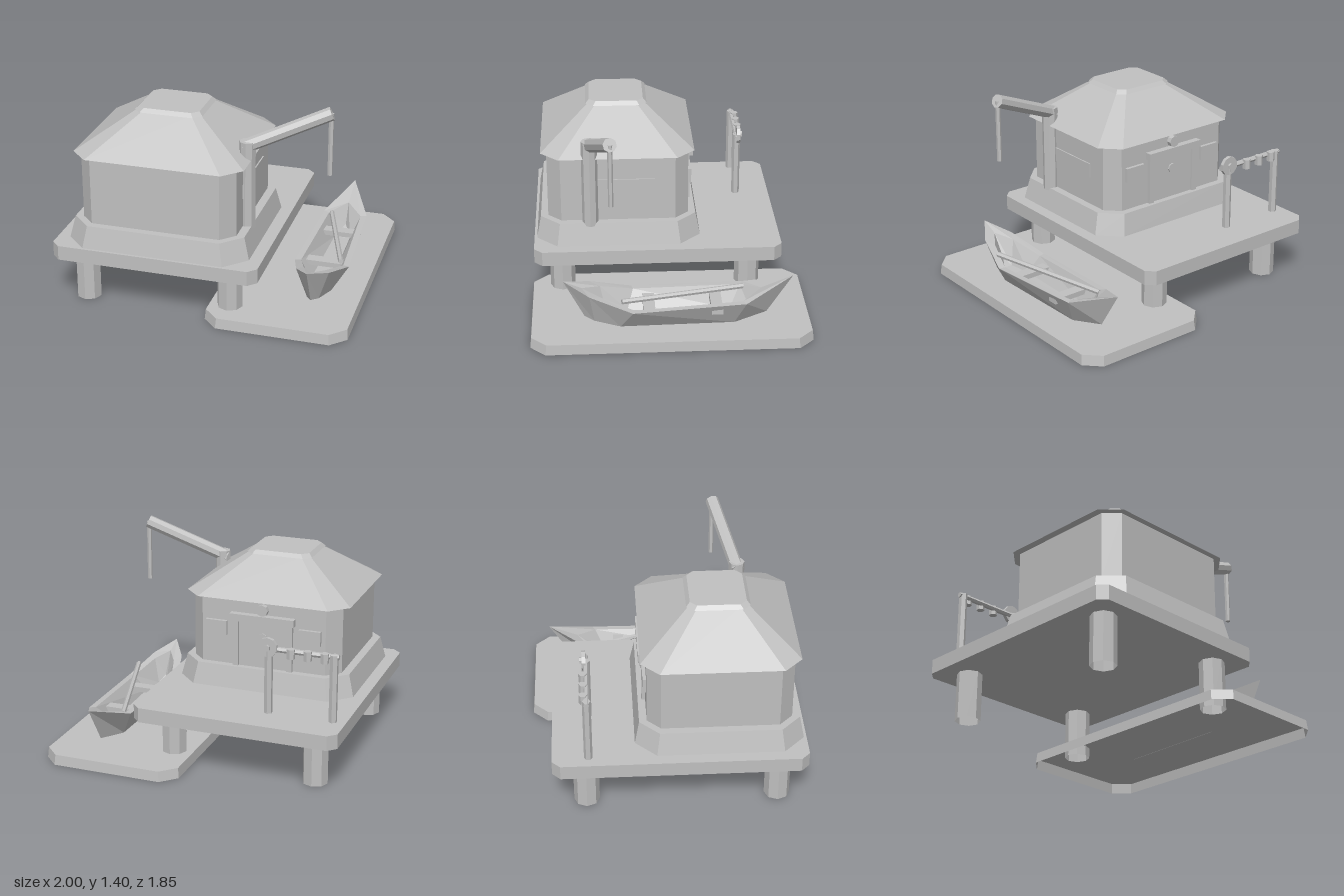
import * as THREE from 'three';

const grey = new THREE.MeshStandardMaterial({ color: 0xc0c0c0, flatShading: true, side: THREE.DoubleSide });
grey.name = 'plainGrey';

export function createModel() {
  const root = new THREE.Group();
  root.name = 'harbourHut';

  const add = (name, geo, x = 0, y = 0, z = 0) => {
    const m = new THREE.Mesh(geo, grey);
    m.name = name;
    m.position.set(x, y, z);
    root.add(m);
    return m;
  };
  const box = (name, w, h, d, x, y, z) => add(name, new THREE.BoxGeometry(w, h, d), x, y, z);

  // Skin a list of closed rings, with optional end caps
  const loft = (rings, capStart = true, capEnd = true) => {
    const pos = [];
    const tri = (...p) => p.forEach((q) => pos.push(...q));
    const n = rings[0].length;
    for (let r = 0; r < rings.length - 1; r++) {
      for (let i = 0; i < n; i++) {
        const j = (i + 1) % n;
        tri(rings[r][i], rings[r][j], rings[r + 1][j]);
        tri(rings[r][i], rings[r + 1][j], rings[r + 1][i]);
      }
    }
    const first = rings[0], last = rings[rings.length - 1];
    for (let i = 1; i < n - 1; i++) {
      if (capStart) tri(first[0], first[i + 1], first[i]);
      if (capEnd) tri(last[0], last[i], last[i + 1]);
    }
    const g = new THREE.BufferGeometry();
    g.setAttribute('position', new THREE.Float32BufferAttribute(pos, 3));
    g.computeVertexNormals();
    return g;
  };

  // Rectangle with cut corners: half width, half depth, corner cut
  const cutRect = ([y, hx, hz, c]) => [
    [hx, y, hz - c], [hx, y, c - hz], [hx - c, y, -hz], [c - hx, y, -hz],
    [-hx, y, c - hz], [-hx, y, hz - c], [c - hx, y, hz], [hx - c, y, hz],
  ];
  const block = (name, x, z, sections, bottom = true) =>
    add(name, loft(sections.map(cutRect), bottom, true), x, 0, z);

  // Round bar between two points
  const bar = (name, a, b, r, sides = 6, open = false) => {
    const p = new THREE.Vector3(...a), q = new THREE.Vector3(...b);
    const m = add(name, new THREE.CylinderGeometry(r, r, p.distanceTo(q), sides, 1, open));
    m.position.copy(p).lerp(q, 0.5);
    m.quaternion.setFromUnitVectors(new THREE.Vector3(0, 1, 0), q.sub(p).normalize());
    return m;
  };

  // Ground slab (open below), deck and its hollow piles
  block('lowerSlab', 0.517, -0.005, [[0, 0.478, 0.925, 0.1], [0.07, 0.472, 0.917, 0.1]], false);
  block('deck', -0.3, 0.06, [[0.33, 0.7, 0.835, 0.055], [0.43, 0.7, 0.835, 0.055]]);
  for (const x of [-0.81, 0.18]) {
    for (const z of [0.71, -0.557]) bar('pile', [x, 0, z], [x, 0.33, z], 0.085, 8, true);
  }

  // Hut
  const hx = -0.302, hz = 0.322;
  block('plinth', hx, hz, [[0.43, 0.617, 0.555, 0.14], [0.58, 0.58, 0.525, 0.13]]);
  block('walls', hx, hz, [[0.58, 0.525, 0.475, 0.09], [1.045, 0.525, 0.475, 0.09]]);
  block('roof', hx, hz, [[1.045, 0.575, 0.515, 0.12], [1.29, 0.21, 0.185, 0.045]]);
  block('roofCap', hx, hz, [[1.285, 0.23, 0.207, 0.05], [1.31, 0.205, 0.183, 0.045]]);
  box('sidePanel', 0.012, 0.1, 0.49, 0.226, 0.827, 0.32);

  // Back doorway and windows
  const back = hz - 0.475;
  box('door', 0.36, 0.33, 0.012, hx, 0.745, back - 0.003);
  box('lintel', 0.45, 0.05, 0.05, hx, 0.928, back - 0.022);
  for (const s of [-1, 1]) {
    box('doorJamb', 0.04, 0.33, 0.03, hx + s * 0.19, 0.745, back - 0.01);
    box('backWindow', 0.15, 0.1, 0.03, hx + s * 0.33, 0.835, back - 0.008);
  }
  bar('doorPorthole', [hx, 0.79, back], [hx, 0.79, back - 0.018], 0.035, 8);
  bar('doorLamp', [hx, 0.99, back], [hx, 0.99, back - 0.035], 0.04, 8);

  // Crane
  bar('cranePost', [0.24, 0.56, 0.512], [0.24, 1.165, 0.512], 0.054, 8);
  bar('craneArm', [0.21, 1.12, 0.515], [0.757, 1.36, 0.38], 0.046, 8);
  bar('craneRope', [0.753, 0.935, 0.38], [0.753, 1.36, 0.38], 0.017);

  // Drying rail with floats and a ring disc
  const rz = -0.538;
  for (const x of [-0.912, -0.475]) bar('railPost', [x, 0.43, rz], [x, 0.885, rz], 0.028);
  bar('rail', [-0.945, 0.872, rz], [-0.41, 0.872, rz], 0.018);
  for (const x of [-0.855, -0.743, -0.63]) bar('float', [x, 0.83, rz - 0.02], [x, 0.895, rz - 0.02], 0.028);
  bar('railDisc', [-0.472, 0.885, rz], [-0.472, 0.885, rz - 0.025], 0.066, 10);
  bar('discHub', [-0.472, 0.885, rz], [-0.472, 0.885, rz - 0.04], 0.022, 6);

  // Boat: each station lists z, y and half width for
  // outer rim, outer bottom, inner rim and inner bottom
  const stations = [
    [[-0.81, 0.37, 0], [-0.64, 0.105, 0], [-0.6, 0.285, 0], [-0.52, 0.15, 0]],
    [[-0.49, 0.25, 0.155], [-0.42, 0.068, 0.07], [-0.47, 0.25, 0.115], [-0.4, 0.1, 0.055]],
    [[0.25, 0.22, 0.187], [0.33, 0.068, 0.087], [0.24, 0.22, 0.145], [0.28, 0.1, 0.07]],
    [[0.53, 0.305, 0.11], [0.5, 0.09, 0.04], [0.46, 0.285, 0.075], [0.42, 0.115, 0.03]],
    [[0.7, 0.367, 0], [0.565, 0.105, 0], [0.58, 0.315, 0], [0.48, 0.16, 0]],
  ];
  const side = ([z, y, w], s) => [w * s, y, z];
  const hull = loft(stations.map(([rim, low, inRim, inLow]) => [
    side(rim, 1), side(inRim, 1), side(inLow, 1), side(inLow, -1),
    side(inRim, -1), side(rim, -1), side(low, -1), side(low, 1),
  ]), false, false);
  const bx = 0.688;
  add('boatHull', hull, bx);
  box('rearThwart', 0.29, 0.035, 0.075, bx, 0.19, -0.302);
  box('frontThwart', 0.28, 0.035, 0.078, bx, 0.175, 0.14);
  bar('oar', [0.588, 0.245, -0.49], [0.832, 0.288, 0.32], 0.018);

  return root;
}
